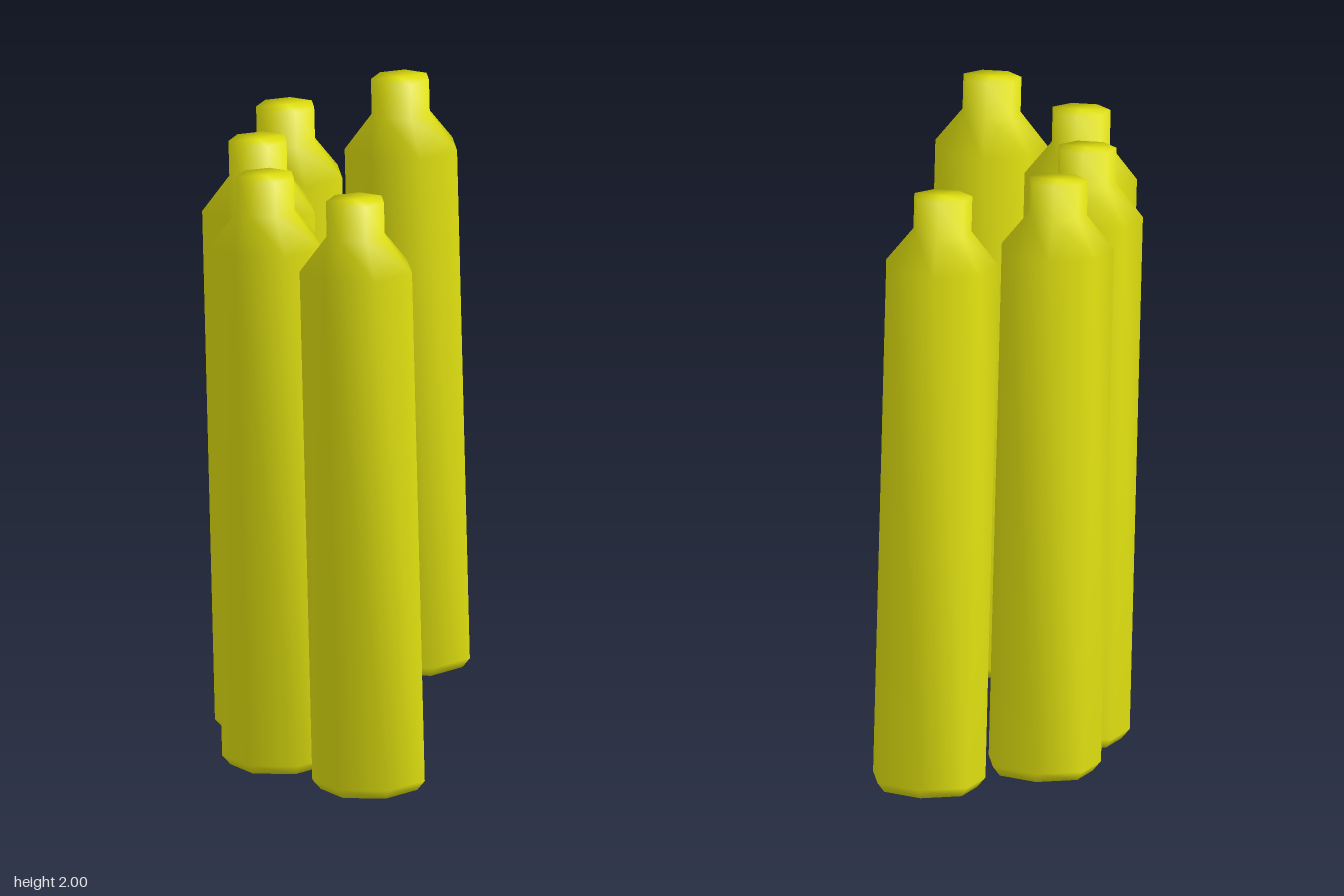
import * as THREE from 'three';
import { mergeVertices } from 'three/addons/utils/BufferGeometryUtils.js';

export function createModel() {
  const group = new THREE.Group();
  const yellow = new THREE.MeshStandardMaterial({ color: 0xe2e210 });
  yellow.name = 'yellow';

  // Seven-sided bottle profile: base, bevel, body, shoulder, neck, flat top
  const profile = [
    [0, 0], [0.153, 0], [0.178, 0.03], [0.178, 1.642],
    [0.092, 1.75], [0.092, 1.86], [0, 1.86],
  ].map(([r, y]) => new THREE.Vector2(r, y));

  // Weld the seam and smooth by face area, so the long body stays straight
  const lathe = new THREE.LatheGeometry(profile, 7);
  lathe.deleteAttribute('uv');
  lathe.deleteAttribute('normal');
  const bottleGeometry = mergeVertices(lathe);
  bottleGeometry.computeVertexNormals();

  // All bottles share the same lean, forward and slightly to the left
  const lean = new THREE.Vector3(0.032, 0.995, 0.093).normalize();
  const tilt = new THREE.Quaternion().setFromUnitVectors(new THREE.Vector3(0, 1, 0), lean);

  // Base centres, stepping up in a curve towards the back
  const bases = [
    [0.393, 0.015, 0.566],
    [-0.029, 0.03, 0.425],
    [-0.293, 0.064, 0.062],
    [-0.444, 0.1, -0.323],
    [-0.296, 0.139, -0.738],
  ];
  bases.forEach((base, i) => {
    const bottle = new THREE.Mesh(bottleGeometry, yellow);
    bottle.name = `bottle${i + 1}`;
    bottle.position.set(...base);
    bottle.quaternion.copy(tilt);
    group.add(bottle);
  });
  return group;
}
